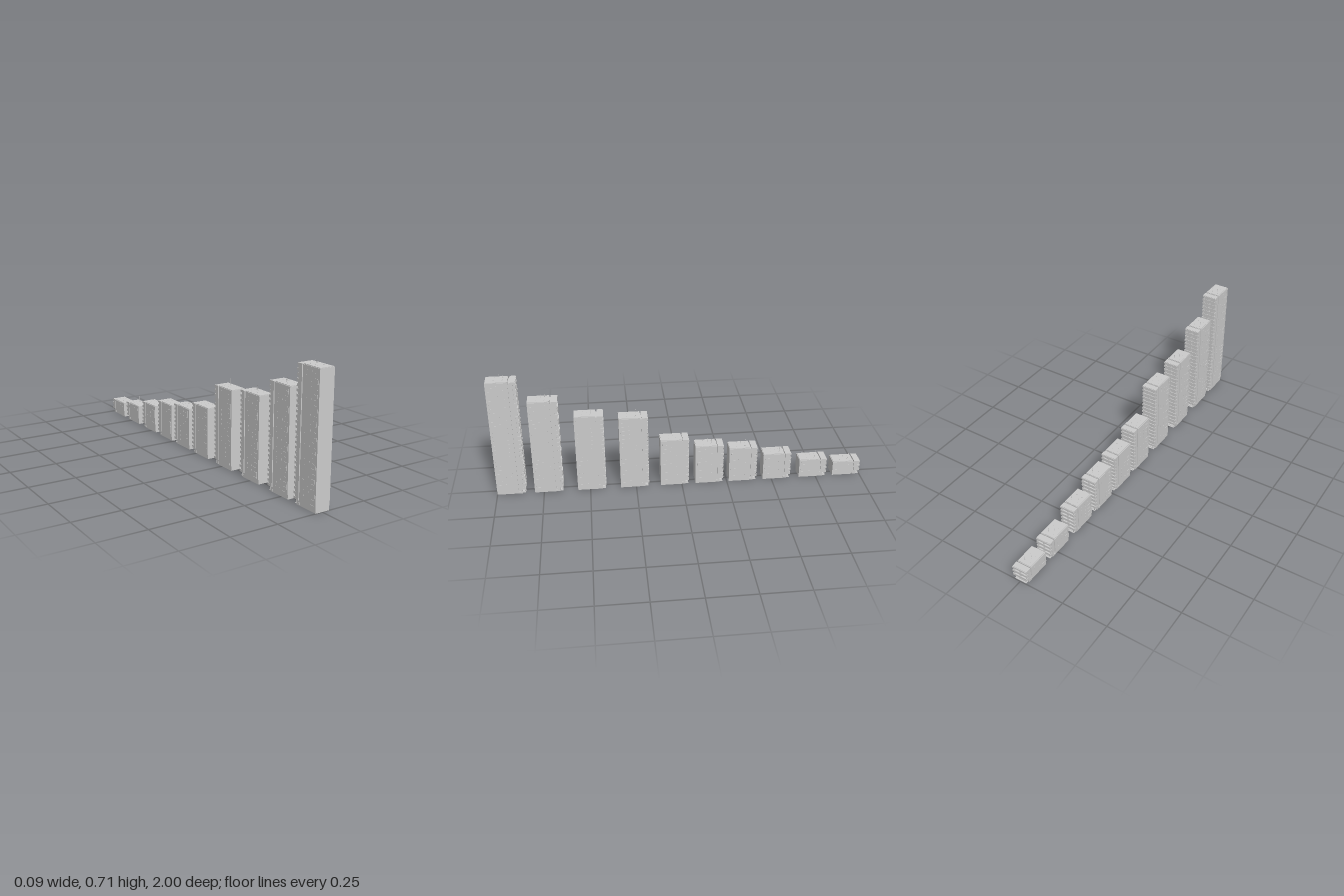
import * as THREE from 'three';
import { mergeGeometries } from 'three/addons/utils/BufferGeometryUtils.js';

const FLOOR = 0.0242;   // storey height
const W = 0.083;        // building width (x)
const D = 0.155;        // building depth (z)
const FRONT = D / 2, BACK = -D / 2;

// [centre z, storeys including the ground floor]
const TOWERS = [
  [0.9225, 27], [0.722, 22], [0.49, 18], [0.257, 17], [0.038, 11],
  [-0.152, 9], [-0.338, 8], [-0.528, 6], [-0.732, 4], [-0.9225, 3],
];

const material = new THREE.MeshStandardMaterial({ color: 0xcccccc, flatShading: true });

// Box given by its limits on each axis
function box(x0, x1, y0, y1, z0, z1) {
  return new THREE.BoxGeometry(x1 - x0, y1 - y0, z1 - z0)
    .translate((x0 + x1) / 2, (y0 + y1) / 2, (z0 + z1) / 2);
}

function post(r, h, x, y, z) {
  return new THREE.CylinderGeometry(r, r, h, 8).translate(x, y + h / 2, z);
}

function part(group, name, geometries) {
  const mesh = new THREE.Mesh(mergeGeometries(geometries), material);
  mesh.name = name;
  group.add(mesh);
}

function createTower(storeys) {
  const tower = new THREE.Group();
  const top = (storeys + 0.5) * FLOOR;
  const w = W / 2;
  const grooveZ = BACK + 0.04;   // rear edge of the main block
  const wingZ = BACK + 0.034;    // front edge of the rear wing
  const wallZ = BACK + 0.016;    // recessed wall behind the balconies

  // Recessed ground floor with porch steps and doors
  part(tower, 'groundFloor', [
    box(-w + 0.003, w - 0.003, 0, FLOOR, BACK + 0.02, FRONT - 0.0005),
    box(-w + 0.008, w - 0.008, 0, 0.003, BACK + 0.003, BACK + 0.02),
    box(-w + 0.012, w - 0.012, 0.003, 0.006, BACK + 0.01, BACK + 0.02),
    box(-0.009, 0.009, 0.006, 0.019, BACK + 0.019, BACK + 0.0205),
    ...[-1, 1].flatMap((s) => [
      box(s * (w - 0.002) - 0.0015, s * (w - 0.002) + 0.0015, 0.003, 0.014, BACK + 0.03, BACK + 0.04),
      post(0.0015, FLOOR, s * (w - 0.012), 0, BACK + 0.006),
    ]),
  ]);

  // Main block with blank front wall, narrow core in the groove, rear wing
  part(tower, 'mainBlock', [box(-w, w, FLOOR, top - 0.002, grooveZ, FRONT)]);
  part(tower, 'grooveCore', [box(-w + 0.005, w - 0.005, FLOOR, top - 0.01, wingZ, grooveZ)]);
  part(tower, 'rearWing', [box(-w, w, FLOOR, top - 0.008, wallZ, wingZ)]);

  // Roof slabs
  part(tower, 'roof', [
    box(-w + 0.004, w - 0.004, top - 0.002, top + 0.001, grooveZ + 0.002, FRONT - 0.003),
    box(-w, w, top - 0.008, top - 0.001, BACK + 0.003, wingZ),
  ]);

  // Stacked balconies: slab, parapet, side returns, fins, doors
  const balconies = [], doors = [], windows = [];
  for (let i = 1; i < storeys; i++) {
    const y = i * FLOOR;
    balconies.push(
      box(-w, w, y, y + 0.003, BACK, wallZ),
      box(-w, w, y + 0.003, y + 0.0125, BACK, BACK + 0.002),
      box(-w, -w + 0.002, y + 0.003, y + 0.0125, BACK + 0.002, wallZ),
      box(w - 0.002, w, y + 0.003, y + 0.0125, BACK + 0.002, wallZ),
      box(-0.0015, 0.0015, y + 0.003, y + FLOOR, BACK + 0.002, wallZ),
    );
    for (const s of [-1, 1]) {
      balconies.push(box(s * 0.036 - 0.001, s * 0.036 + 0.001, y + 0.003, y + FLOOR, BACK + 0.004, wallZ));
      doors.push(box(s * 0.019 - 0.009, s * 0.019 + 0.009, y + 0.003, y + 0.019, wallZ - 0.001, wallZ + 0.001));
      // Side windows: one wide with a sill, two small
      const pane = (z, width, y0, h, out) =>
        box(s * w - out, s * w + out, y + y0, y + y0 + h, z - width / 2, z + width / 2);
      windows.push(
        pane(0.053, 0.022, 0.008, 0.002, 0.0012),
        pane(0.022, 0.007, 0.009, 0.008, 0.0006),
        pane(-0.012, 0.007, 0.009, 0.008, 0.0006),
      );
    }
  }
  // Top parapet over the highest balcony
  const yTop = storeys * FLOOR;
  balconies.push(box(-w, w, yTop, top - 0.003, BACK, wallZ));
  part(tower, 'balconies', balconies);
  part(tower, 'balconyDoors', doors);
  part(tower, 'sideWindows', windows);

  // Thin vertical strips along both sides
  part(tower, 'downpipes', [-1, 1].map((s) =>
    box(s * w - 0.0008, s * w + 0.0008, FLOOR + 0.004, top - 0.012, 0.066, 0.068)));

  // Roof vents and antennas
  part(tower, 'roofVents', [[-0.018, 0.03], [0.016, 0.034], [-0.02, -0.014], [0.018, -0.008]]
    .map(([x, z]) => post(0.0015, 0.004, x, top, z)));
  part(tower, 'antennas', [
    post(0.0006, 0.04, 0.013, top, -0.014), post(0.0016, 0.003, 0.013, top, -0.014),
    post(0.0005, 0.024, -0.01, top, 0.008), post(0.0014, 0.003, -0.01, top, 0.008),
  ]);
  return tower;
}

export function createModel() {
  const model = new THREE.Group();
  model.name = 'towerRow';
  TOWERS.forEach(([z, storeys], i) => {
    const tower = createTower(storeys);
    tower.name = `tower${i + 1}`;
    tower.position.z = z;
    model.add(tower);
  });
  return model;
}
